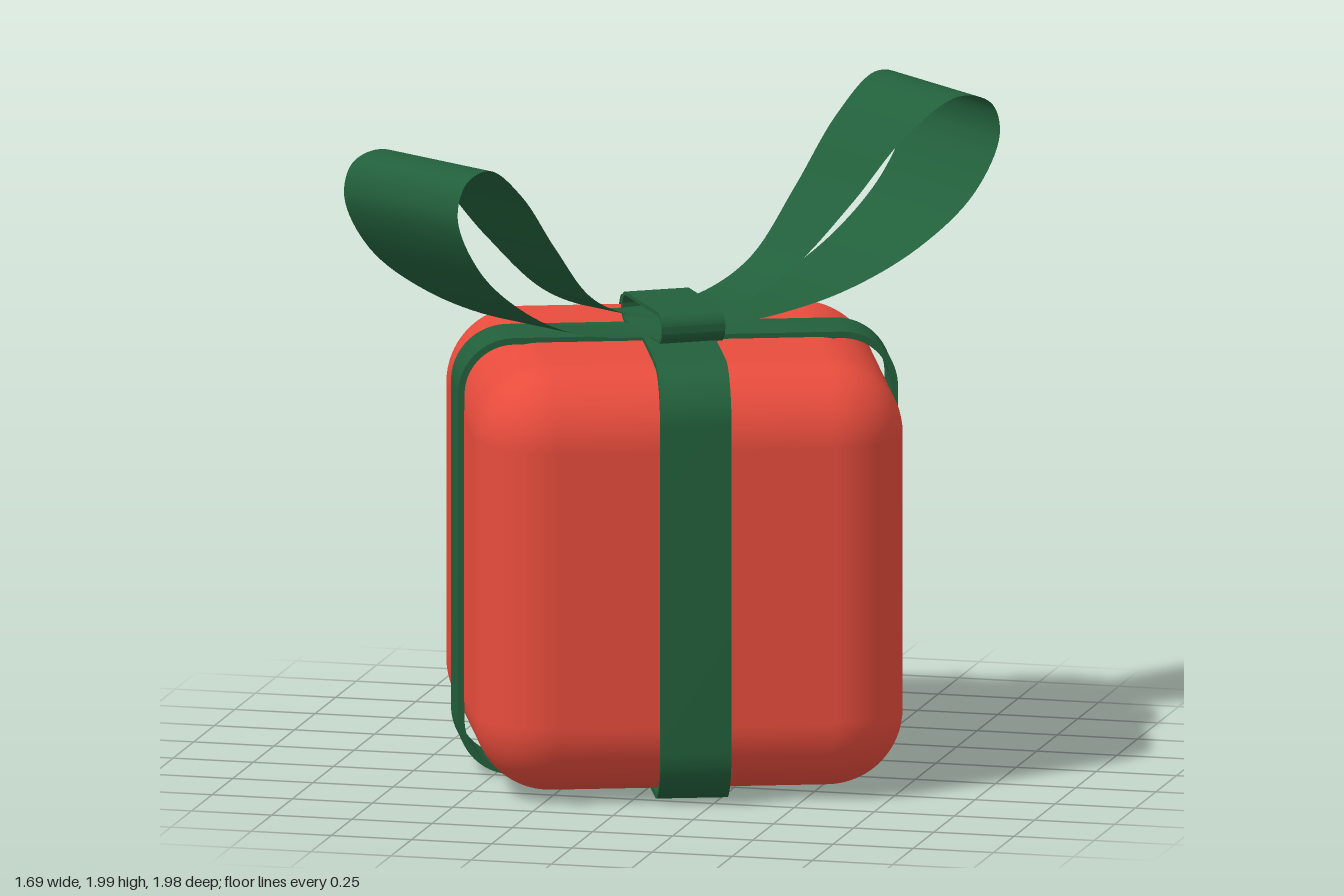
import * as THREE from 'three';
import { RoundedBoxGeometry } from 'three/addons/geometries/RoundedBoxGeometry.js';
import { ParametricGeometry } from 'three/addons/geometries/ParametricGeometry.js';
import { toCreasedNormals } from 'three/addons/utils/BufferGeometryUtils.js';

const red = new THREE.MeshStandardMaterial({ color: 0xe74c3c });
const green = new THREE.MeshStandardMaterial({ color: 0x225f3b, side: THREE.DoubleSide });

function add(parent, name, geometry, material) {
  const mesh = new THREE.Mesh(geometry, material);
  mesh.name = name;
  parent.add(mesh);
  return mesh;
}

// Rounded rectangle centred on the origin
function roundedRect(path, w, h, r) {
  const x = w / 2, y = h / 2;
  path.moveTo(-x + r, -y);
  path.lineTo(x - r, -y);
  path.absarc(x - r, -y + r, r, -Math.PI / 2, 0);
  path.lineTo(x, y - r);
  path.absarc(x - r, y - r, r, 0, Math.PI / 2);
  path.lineTo(-x + r, y);
  path.absarc(-x + r, y - r, r, Math.PI / 2, Math.PI);
  path.lineTo(-x, -y + r);
  path.absarc(-x + r, -y + r, r, Math.PI, Math.PI * 1.5);
  return path;
}

// Closed strap with a rounded rectangular outline, its width along z
function strap(w, h, r, thickness, width) {
  const shape = roundedRect(new THREE.Shape(), w, h, r);
  shape.holes.push(roundedRect(new THREE.Path(), w - 2 * thickness, h - 2 * thickness, r - thickness));
  const geometry = new THREE.ExtrudeGeometry(shape, { depth: width, bevelEnabled: false, curveSegments: 10 });
  geometry.translate(0, 0, -width / 2);
  return toCreasedNormals(geometry, 0.6);
}

// Bow loop stations: distance out, height, half width on each side
const loopStations = [
  [0.00, 1.365, 0.10, 0.10],
  [0.20, 1.370, 0.12, 0.12],
  [0.52, 1.425, 0.17, 0.16],
  [0.78, 1.540, 0.21, 0.21],
  [0.97, 1.690, 0.24, 0.24],
  [1.06, 1.860, 0.248, 0.248],
  [1.03, 1.960, 0.245, 0.245],
  [0.92, 1.990, 0.23, 0.225],
  [0.75, 1.880, 0.20, 0.18],
  [0.58, 1.690, 0.175, 0.135],
  [0.39, 1.505, 0.14, 0.085],
  [0.20, 1.425, 0.12, 0.08],
  [0.00, 1.410, 0.10, 0.09],
];

// Ribbon sheet stretched between two edge curves
function bowLoop(out, across) {
  const edge = (side) => new THREE.CatmullRomCurve3(loopStations.map(([s, y, minus, plus]) => {
    const h = side < 0 ? -minus : plus;
    return new THREE.Vector3(out[0] * s + across[0] * h, y, out[1] * s + across[1] * h);
  }));
  const a = edge(-1), b = edge(1);
  return new ParametricGeometry((u, v, target) => {
    target.copy(a.getPoint(u)).lerp(b.getPoint(u), v);
  }, 96, 6);
}

export function createModel() {
  const model = new THREE.Group();
  model.name = 'giftBox';

  // Box with its two crossing bands, turned together
  const wrapped = new THREE.Group();
  wrapped.name = 'wrappedBox';
  wrapped.position.set(-0.012, 0.6725, -0.043);
  wrapped.rotation.y = THREE.MathUtils.degToRad(20);
  model.add(wrapped);
  add(wrapped, 'box', new RoundedBoxGeometry(1.3, 1.31, 1.3, 10, 0.23), red).position.y = 0.0025;
  for (const [name, turn, lift] of [['sideBand', 0, 0], ['frontBand', Math.PI / 2, 0.001]]) {
    const band = add(wrapped, name, strap(1.335, 1.345, 0.17, 0.02, 0.215), green);
    band.rotation.y = turn;
    band.position.y = lift;
  }

  // Bow: two raised loops and the knot strap around them
  const bow = new THREE.Group();
  bow.name = 'bow';
  model.add(bow);
  add(bow, 'backLoop', bowLoop([0.62, -0.785], [0.745, 0.665]), green);
  add(bow, 'frontLoop', bowLoop([-0.6, 0.8], [0.85, 0.53]), green);
  const knot = add(bow, 'knot', strap(0.41, 0.1, 0.048, 0.012, 0.2), green);
  knot.position.set(-0.005, 1.39, 0);
  knot.rotation.y = THREE.MathUtils.degToRad(-58);

  return model;
}
